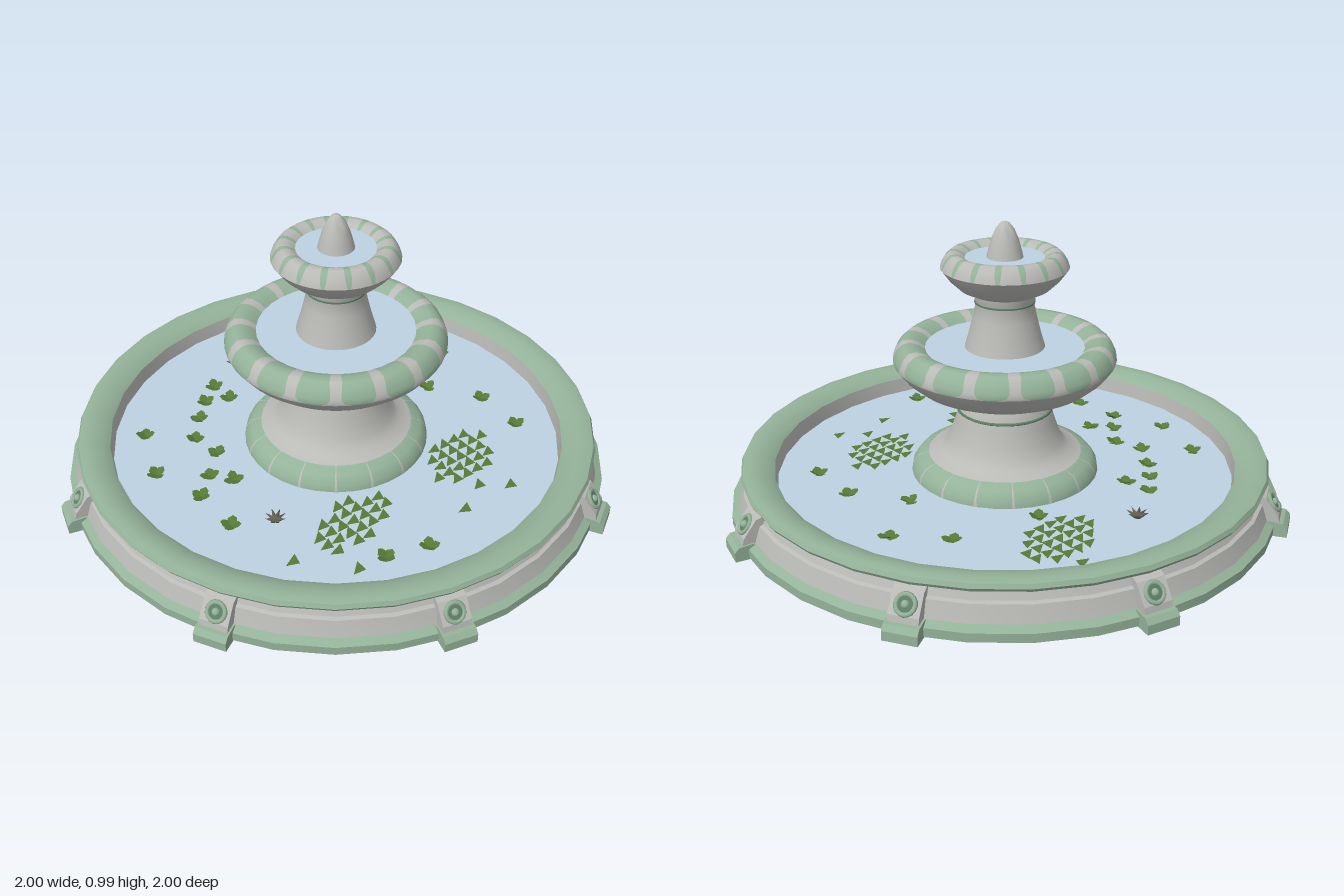
import * as THREE from 'three';
import { mergeGeometries, toCreasedNormals } from 'three/addons/utils/BufferGeometryUtils.js';

const mat = (name, color) => {
  const m = new THREE.MeshStandardMaterial({ color, side: THREE.DoubleSide });
  m.name = name;
  return m;
};

export function createModel() {
  const stone = mat('stone', 0xbabbb7);
  const moss = mat('moss', 0x94b299);
  const trim = mat('dark moss', 0x5c7d66);
  const water = mat('water', 0xbcd2e2);
  const tankMat = mat('pale tank', 0xc4e0de);
  const leafMat = mat('leaf', 0x557a35);
  const darkMat = mat('withered flower', 0x6b655a);

  const root = new THREE.Group();
  root.name = 'fountain';
  const add = (name, geo, material, parent = root) => {
    const m = new THREE.Mesh(geo, material);
    m.name = name;
    parent.add(m);
    return m;
  };
  const pts = (p) => p.map(([r, y]) => new THREE.Vector2(r, y));
  const turn = (name, profile, material, segments = 32) =>
    add(name, toCreasedNormals(new THREE.LatheGeometry(pts(profile), segments), 0.6), material);

  // One turned strip whose angular width changes along the profile
  const strip = (profile, centre, width) => {
    const g = new THREE.LatheGeometry(pts(profile), 2, -0.5, 1);
    const { position: p, normal: n } = g.attributes;
    for (let i = 0; i < p.count; i++) {
      const row = i % profile.length, r = profile[row][0];
      const old = (Math.floor(i / profile.length) - 1) * 0.5;
      const a = centre + old * width(profile[row][2]);
      const nr = n.getX(i) * Math.sin(old) + n.getZ(i) * Math.cos(old);
      p.setXYZ(i, r * Math.sin(a), p.getY(i), r * Math.cos(a));
      n.setXYZ(i, nr * Math.sin(a), n.getY(i), nr * Math.cos(a));
    }
    return g;
  };

  // Turned band with 16 patches of a second colour; points are [radius, height, patch share]
  const bandedTurn = (name, profile, gap = stone) => {
    const step = Math.PI / 8;
    const strips = (offset, width) => mergeGeometries(
      Array.from({ length: 16 }, (_, i) => strip(profile, (i + offset) * step, width)));
    add(name + 'Patches', strips(0.5, (s) => s * step), moss);
    add(name + 'Gaps', strips(0, (s) => (1 - s) * step), gap);
  };

  // Basin wall
  turn('basinFoot', [[0.945, 0], [0.96, 0.005], [0.96, 0.035], [0.935, 0.05]], moss);
  turn('basinWall', [[0.935, 0.05], [0.917, 0.105], [0.905, 0.11], [0.89, 0.145]], stone);
  turn('basinRim', [[0.89, 0.143], [0.915, 0.146], [0.922, 0.158], [0.915, 0.172], [0.895, 0.177],
    [0.865, 0.175], [0.83, 0.165], [0.808, 0.15]], moss);
  turn('basinInnerWall', [[0.808, 0.15], [0.8, 0.09]], stone);

  // Tank under the water, with an open centre
  turn('tank', [[0.355, 0.004], [0.792, 0.004], [0.808, 0.09]], tankMat);
  bandedTurn('tankOpening', [[0.33, 0.095, 0.97], [0.343, 0.055, 0.9], [0.355, 0.004, 0.3]], tankMat);

  // Water surfaces
  const level = 0.095;
  for (const [name, r, y] of [['basinWater', 0.802, level], ['middleWater', 0.275, 0.552], ['topWater', 0.135, 0.868]])
    add(name, new THREE.CircleGeometry(r, 32).rotateX(-Math.PI / 2), water).position.y = y;

  // Pedestal
  bandedTurn('pedestalBase', [[0.33, 0.095, 0.9], [0.326, 0.12, 0.94], [0.305, 0.148, 0.96], [0.27, 0.162, 0.98]]);
  turn('pedestal', [[0.27, 0.162], [0.226, 0.179], [0.203, 0.21], [0.187, 0.245], [0.172, 0.29],
    [0.164, 0.323], [0.15, 0.36], [0.134, 0.395]], stone);
  turn('pedestalTrim', [[0.164, 0.319], [0.168, 0.322], [0.167, 0.327], [0.162, 0.329]], trim);

  // Middle bowl
  turn('middleBowl', [[0.11, 0.387], [0.17, 0.388], [0.25, 0.402], [0.31, 0.43], [0.355, 0.468], [0.383, 0.505]], stone, 48);
  bandedTurn('middleRim', [[0.383, 0.505, 0.3], [0.385, 0.513, 0.62], [0.383, 0.528, 0.76], [0.371, 0.555, 0.74],
    [0.35, 0.574, 0.7], [0.325, 0.577, 0.72], [0.295, 0.568, 0.74], [0.27, 0.548, 0.74]]);

  // Upper column
  turn('upperColumn', [[0.14, 0.545], [0.124, 0.6], [0.109, 0.66], [0.099, 0.71], [0.103, 0.722], [0.106, 0.75]], stone);
  turn('upperTrim', [[0.098, 0.709], [0.104, 0.711], [0.104, 0.716], [0.1, 0.718]], trim);

  // Top bowl and finial
  turn('topBowl', [[0.08, 0.744], [0.115, 0.745], [0.155, 0.764], [0.19, 0.797], [0.218, 0.835]], stone, 48);
  bandedTurn('topRim', [[0.218, 0.835, 0.12], [0.212, 0.852, 0.22], [0.2, 0.872, 0.28], [0.185, 0.885, 0.3],
    [0.165, 0.886, 0.28], [0.147, 0.878, 0.25], [0.132, 0.866, 0.2]]);
  turn('finial', [[0.064, 0.862], [0.056, 0.895], [0.046, 0.93], [0.032, 0.963], [0.015, 0.985], [0, 0.991]], stone, 20);

  // Eight buttresses with medallions
  const side = new THREE.Shape(pts([[0.9, 0.045], [0.972, 0.045], [0.967, 0.07], [0.922, 0.13], [0.89, 0.14]]));
  const foot = new THREE.Shape(pts([[0.945, 0], [1, 0], [1, 0.032], [0.985, 0.048], [0.935, 0.053]]));
  const slab = (shape, width) => new THREE.ExtrudeGeometry(shape, { depth: width, bevelEnabled: false })
    .translate(0, 0, -width / 2);
  for (let i = 0; i < 8; i++) {
    const b = new THREE.Group();
    b.name = 'buttress';
    b.rotation.y = i * Math.PI / 4;
    root.add(b);
    add('buttressBody', slab(side, 0.098), stone, b);
    add('buttressFoot', slab(foot, 0.112), moss, b);
    const medal = new THREE.Group();
    medal.name = 'medallion';
    medal.position.set(0.946, 0.098, 0);
    medal.rotation.z = -Math.PI / 2 + 0.62;
    b.add(medal);
    add('medallionRing', new THREE.TorusGeometry(0.03, 0.008, 6, 16).rotateX(Math.PI / 2), moss, medal);
    add('medallionDisc', new THREE.CylinderGeometry(0.028, 0.028, 0.006, 16), trim, medal);
    add('medallionBoss', new THREE.SphereGeometry(0.014, 10, 6), moss, medal);
  }

  // Floating leaf tufts, each of four tilted blades
  let seed = 7;
  const rnd = () => (seed = (seed * 16807) % 2147483647) / 2147483647;
  const blade = (outline, tilt, angle, x, z) => new THREE.ShapeGeometry(new THREE.Shape(pts(outline)))
    .rotateX(-Math.PI / 2 + tilt).rotateY(angle).translate(x, level + 0.006, z);
  const leafShape = [[0, -0.008], [0.02, 0.008], [0.014, 0.03], [0, 0.038], [-0.017, 0.024]];
  const leafSpots = [[-0.33, -0.42], [-0.39, -0.34], [-0.3, -0.33], [-0.65, -0.23], [-0.44, -0.25], [-0.49, -0.14],
    [-0.44, -0.04], [-0.67, -0.01], [-0.5, 0.07], [-0.43, 0.12], [-0.56, 0.16], [-0.51, 0.33], [-0.1, 0.66],
    [0.05, 0.67], [0.62, 0.22], [0.58, 0.03], [0.42, -0.11], [0.57, -0.3], [0.4, -0.41], [0.09, -0.41]];
  add('leaves', mergeGeometries(leafSpots.flatMap(([x, z]) => {
    const spin = rnd() * 6.28;
    return [0, 1, 2, 3].map((k) => blade(leafShape, 0.2 + rnd() * 0.4, spin + k * 1.57, x, z));
  })), leafMat);

  // Drifts of small slivers: centre, radii and slant of each patch
  const sliver = [[-0.026, -0.016], [0.02, -0.016], [0.014, 0.03]];
  const slivers = [[-0.2, 0.67], [-0.38, 0.56], [-0.23, 0.57], [0.02, -0.77], [0.1, -0.71],
    [0.24, 0.55], [0.34, 0.46], [0.44, 0.5]];
  for (const [cx, cz, ra, rb, slant] of [[0.09, -0.55, 0.15, 0.1, 0.6], [0.35, 0.3, 0.155, 0.1, 0.85], [-0.13, 0.46, 0.155, 0.085, 0.35]])
    for (let i = -4; i <= 4; i++)
      for (let j = -4; j <= 4; j++) {
        const u = i * 0.045 + j * 0.012, v = j * 0.04 - i * 0.012;
        const a = u * Math.cos(slant) - v * Math.sin(slant), b = u * Math.sin(slant) + v * Math.cos(slant);
        if ((a / ra) ** 2 + (b / rb) ** 2 < 1) slivers.push([cx + u, cz + v]);
      }
  add('leafDrifts', mergeGeometries(slivers.map(([x, z]) => blade(sliver, 0, (rnd() - 0.5) * 0.5, x, z))), leafMat);

  // Two withered flowers with raised petals
  for (const [x, z] of [[-0.205, -0.545], [-0.365, 0.36]]) {
    const petals = Array.from({ length: 8 }, (_, i) => new THREE.ConeGeometry(0.011, 0.042, 4)
      .translate(0, 0.021, 0).rotateZ(-1.1).rotateY(i * Math.PI / 4));
    add('witheredFlower', mergeGeometries(petals), darkMat).position.set(x, level + 0.005, z);
  }
  return root;
}
